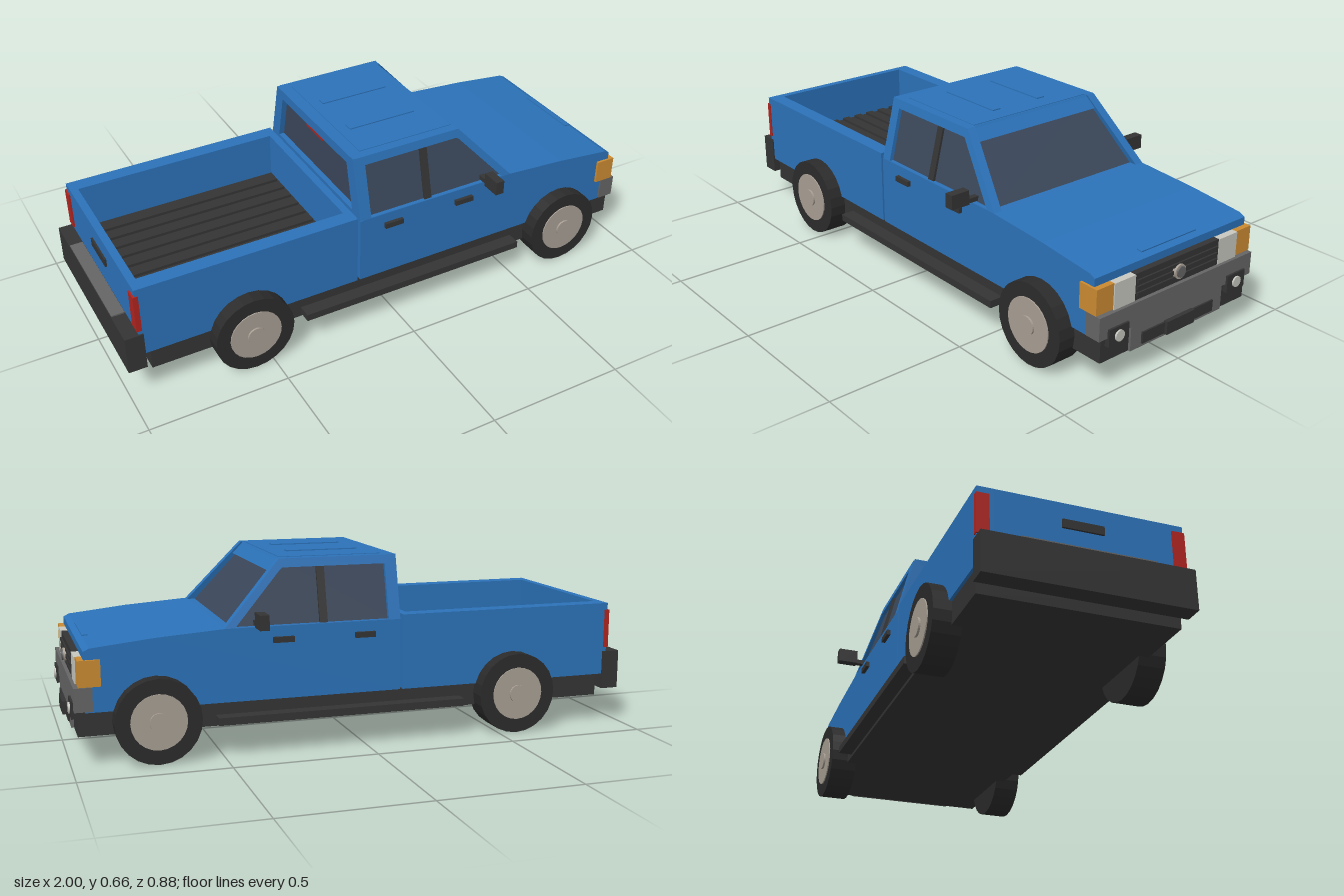
import * as THREE from 'three';

const mat = (name, color) => {
  const m = new THREE.MeshStandardMaterial({ color });
  m.name = name;
  return m;
};

export function createModel() {
  const truck = new THREE.Group();
  truck.name = 'pickupTruck';

  const blue = mat('bluePaint', 0x2b72b9);
  const dark = mat('darkPlastic', 0x343434);
  const tyreMat = mat('tyreRubber', 0x2b2b2b);
  const glass = mat('tintedGlass', 0x3a475a);
  const grey = mat('greyBumper', 0x656565);
  const hubMat = mat('hubMetal', 0xa89f94);
  const white = mat('lampWhite', 0xc8c8c0);
  const amber = mat('amberLamp', 0xcb8b32);
  const red = mat('redLamp', 0xb0241f);

  const add = (name, geo, material) => {
    const m = new THREE.Mesh(geo, material);
    m.name = name;
    truck.add(m);
    return m;
  };
  // Box given by its limits on each axis
  const box = (name, material, [x0, x1], [y0, y1], [z0, z1]) =>
    add(name, new THREE.BoxGeometry(x1 - x0, y1 - y0, z1 - z0)
      .translate((x0 + x1) / 2, (y0 + y1) / 2, (z0 + z1) / 2), material);
  // The same box on both sides of the truck
  const pair = (name, material, x, y, [z0, z1]) => {
    box(name + 'Left', material, x, y, [-z1, -z0]);
    box(name + 'Right', material, x, y, [z0, z1]);
  };
  const shapeOf = (pts, hole) => {
    const s = new THREE.Shape(pts.map(p => new THREE.Vector2(...p)));
    if (hole) s.holes.push(new THREE.Path(hole.map(p => new THREE.Vector2(...p))));
    return s;
  };
  // Extrude by one unit, then place each vertex's z by a rule
  const extrude = (shape, zRule) => {
    const g = new THREE.ExtrudeGeometry(shape, { depth: 1, bevelEnabled: false });
    const p = g.attributes.position;
    for (let i = 0; i < p.count; i++) p.setZ(i, zRule(p.getY(i), p.getZ(i)));
    g.computeVertexNormals();
    return g;
  };
  // Half width of the cab, narrowing towards the roof
  const half = y => 0.345 - Math.max(0, y - 0.43) * 0.25;
  const across = (pts, inset = 0) =>
    extrude(shapeOf(pts), (y, t) => (2 * t - 1) * (half(y) - inset));
  const sidePanel = (name, material, pts, hole, thick, inset = 0) => {
    for (const s of [1, -1]) {
      const g = extrude(shapeOf(pts, hole), (y, t) =>
        s > 0 ? half(y) - inset - thick * (1 - t) : -half(y) + inset + thick * t);
      add(name + (s > 0 ? 'Right' : 'Left'), g, material);
    }
  };

  // Chassis and running boards
  box('chassis', dark, [-0.915, 0.975], [0.1, 0.182], [-0.335, 0.335]);
  pair('runningBoard', dark, [-0.365, 0.52], [0.112, 0.138], [0.33, 0.385]);

  // Cab lower body with sloping bonnet
  add('lowerBody', across([[-0.135, 0.18], [0.95, 0.18], [0.95, 0.382], [0.93, 0.392],
    [0.72, 0.414], [0.485, 0.43], [-0.135, 0.43]]), blue);
  const ridge = box('bonnetRidge', blue, [-0.01, 0.01], [-0.004, 0.004], [-0.125, 0.125]);
  ridge.position.set(0.92, 0.393, 0);
  ridge.rotation.z = -0.1;

  // Greenhouse: glass core inside painted frames
  add('cabGlass', across([[-0.115, 0.425], [0.462, 0.425], [0.272, 0.64], [-0.115, 0.64]], 0.014), glass);
  sidePanel('sideFrame', blue,
    [[-0.125, 0.43], [0.487, 0.43], [0.285, 0.65], [-0.125, 0.65]],
    [[-0.092, 0.432], [-0.092, 0.62], [0.278, 0.62], [0.45, 0.432]], 0.033);
  sidePanel('doorPillar', dark,
    [[0.127, 0.432], [0.155, 0.432], [0.155, 0.62], [0.127, 0.62]], null, 0.01, 0.006);
  add('roof', across([[-0.13, 0.632], [0.26, 0.632], [0.292, 0.606], [0.316, 0.606],
    [0.283, 0.643], [0.278, 0.65], [-0.13, 0.65]], 0.002), blue);
  box('roofPanel', blue, [-0.09, 0.275], [0.649, 0.652], [-0.255, 0.255]);
  pair('roofRib', blue, [-0.05, 0.21], [0.65, 0.656], [0.085, 0.118]);
  const rearFrame = new THREE.ExtrudeGeometry(shapeOf(
    [[-0.343, 0.43], [0.343, 0.43], [0.288, 0.65], [-0.288, 0.65]],
    [[-0.285, 0.445], [-0.245, 0.615], [0.245, 0.615], [0.285, 0.445]]),
  { depth: 0.024, bevelEnabled: false });
  add('rearWindowFrame', rearFrame.rotateY(Math.PI / 2).translate(-0.135, 0, 0), blue);
  box('highBrakeLamp', red, [-0.13, -0.112], [0.598, 0.612], [-0.06, 0.06]);

  // Door handles and mirrors
  for (const x of [-0.04, 0.25])
    pair('doorHandle', dark, [x, x + 0.072], [0.375, 0.394], [0.34, 0.358]);
  pair('mirrorArm', dark, [0.365, 0.385], [0.436, 0.452], [0.325, 0.375]);
  pair('mirror', dark, [0.358, 0.39], [0.434, 0.485], [0.368, 0.44]);

  // Load bed: base, walls, ribbed floor
  box('bedBase', blue, [-0.945, -0.15], [0.18, 0.27], [-0.34, 0.34]);
  pair('bedSide', blue, [-0.95, -0.145], [0.18, 0.445], [0.29, 0.345]);
  box('bedFrontWall', blue, [-0.173, -0.145], [0.18, 0.445], [-0.29, 0.29]);
  box('tailgate', blue, [-0.95, -0.922], [0.18, 0.445], [-0.29, 0.29]);
  box('bedFloor', dark, [-0.922, -0.173], [0.265, 0.28], [-0.29, 0.29]);
  for (let i = 0; i < 9; i++) {
    const z = -0.24 + i * 0.06;
    box('bedFloorRib', dark, [-0.915, -0.18], [0.28, 0.29], [z - 0.016, z + 0.016]);
  }
  box('tailgateHandle', dark, [-0.957, -0.948], [0.355, 0.385], [-0.07, 0.07]);
  pair('tailLamp', red, [-0.956, -0.938], [0.28, 0.42], [0.305, 0.348]);

  // Rear bumper
  box('rearBumper', dark, [-1, -0.935], [0.125, 0.265], [-0.35, 0.35]);
  box('rearStep', grey, [-0.998, -0.952], [0.26, 0.27], [-0.22, 0.22]);

  // Front lamps and grille
  box('grille', dark, [0.94, 0.972], [0.265, 0.356], [-0.192, 0.192]);
  for (const y of [0.285, 0.307, 0.329])
    box('grilleBar', dark, [0.97, 0.978], [y - 0.006, y + 0.006], [-0.185, 0.185]);
  pair('headlamp', white, [0.94, 0.974], [0.265, 0.355], [0.192, 0.282]);
  pair('cornerLamp', amber, [0.897, 0.97], [0.267, 0.355], [0.282, 0.354]);

  // Round parts facing forward
  const disc = (name, material, r, x0, x1, y, z) =>
    add(name, new THREE.CylinderGeometry(r, r, x1 - x0, 20).rotateZ(-Math.PI / 2)
      .translate((x0 + x1) / 2, y, z), material);
  disc('grilleBossRim', hubMat, 0.025, 0.97, 0.985, 0.307, 0);
  disc('grilleBoss', grey, 0.019, 0.98, 0.99, 0.307, 0);

  // Front bumper, apron and fog lamps
  box('frontBumper', grey, [0.925, 0.985], [0.185, 0.265], [-0.352, 0.352]);
  box('frontApron', grey, [0.93, 0.984], [0.1, 0.186], [-0.212, 0.212]);
  box('apronIntake', dark, [0.98, 0.99], [0.112, 0.152], [-0.165, 0.165]);
  box('plateHolder', dark, [0.985, 1], [0.11, 0.156], [-0.064, 0.064]);
  pair('fogLampHousing', dark, [0.95, 0.992], [0.155, 0.216], [0.23, 0.316]);
  for (const s of [1, -1]) disc('fogLamp', white, 0.019, 0.985, 0.998, 0.185, s * 0.273);

  // Wheels
  for (const x of [-0.565, 0.72]) for (const s of [1, -1]) {
    const wheel = new THREE.Group();
    wheel.name = 'wheel';
    wheel.position.set(x, 0.145, 0);
    const part = (name, material, r, z0, z1) => {
      let g = new THREE.CylinderGeometry(r, r, z1 - z0, 24).rotateX(Math.PI / 2)
        .translate(0, 0, s * (z0 + z1) / 2).toNonIndexed();
      g.computeVertexNormals();
      const m = new THREE.Mesh(g, material);
      m.name = name;
      wheel.add(m);
    };
    part('tyre', tyreMat, 0.144, 0.3, 0.397);
    part('hub', hubMat, 0.094, 0.39, 0.401);
    part('hubCap', hubMat, 0.032, 0.4, 0.408);
    truck.add(wheel);
  }
  return truck;
}
